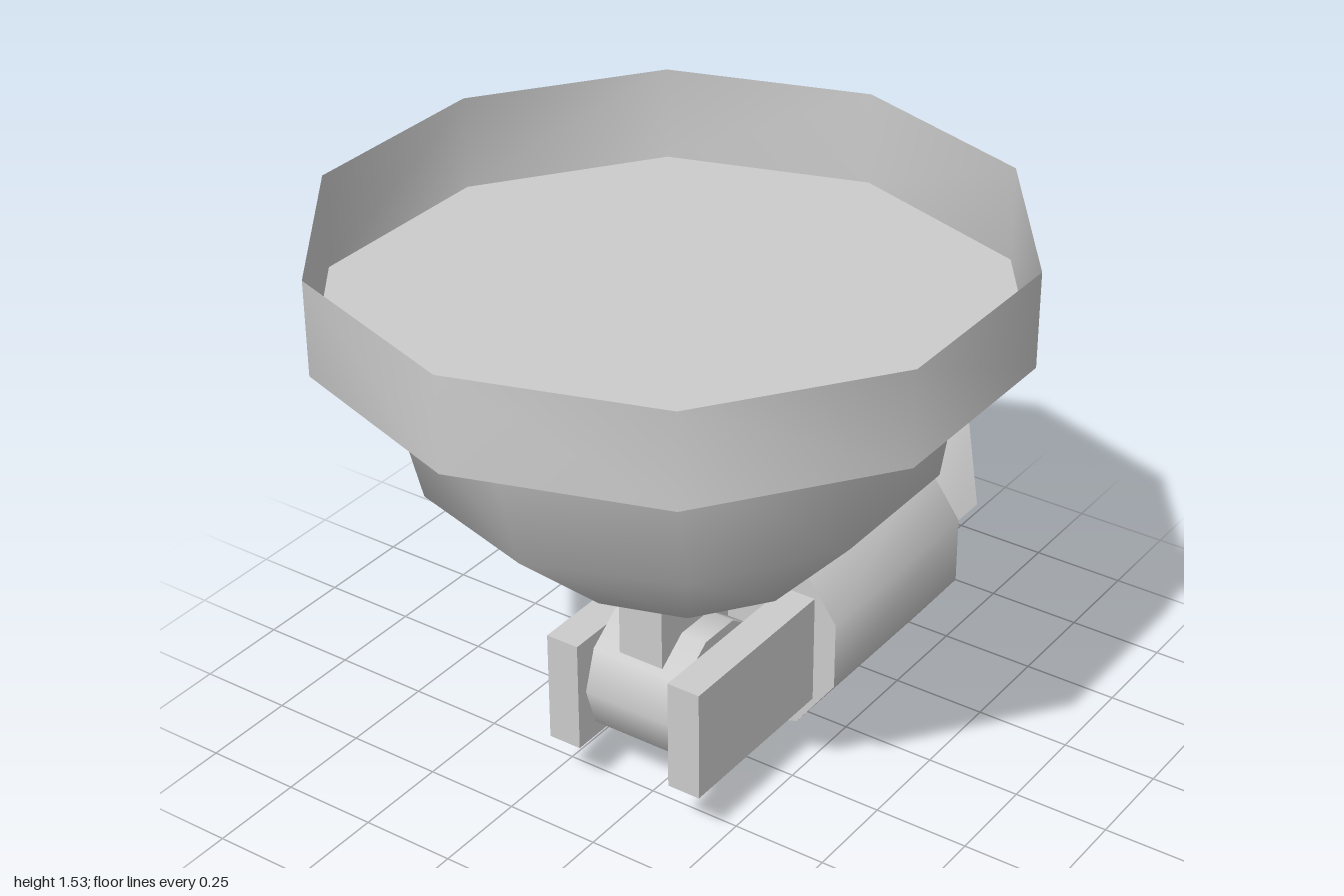
import * as THREE from 'three';
import { toCreasedNormals } from 'three/addons/utils/BufferGeometryUtils.js';

const SIDES = 10;
const CZ = 0.153; // z of the dish and hinge axis

export function createModel() {
  const group = new THREE.Group();
  const material = new THREE.MeshStandardMaterial({ color: 0xcccccc, side: THREE.DoubleSide });

  const add = (name, geometry, x = 0, y = 0, z = 0, parent = group) => {
    const mesh = new THREE.Mesh(geometry, material);
    mesh.name = name;
    mesh.position.set(x, y, z);
    parent.add(mesh);
    return mesh;
  };
  const lathe = (points, segments = SIDES, start = 0, length = Math.PI * 2) =>
    new THREE.LatheGeometry(points.map(([r, y]) => new THREE.Vector2(r, y)), segments, start, length);
  const crease = (geometry) => toCreasedNormals(geometry, 1.0);

  // Open tray: a floor with a thin upright wall
  add('tray', crease(lathe([[0, 1.297], [0.845, 1.297], [0.845, 1.535]])), 0, 0, CZ);

  // Bowl below the tray, its middle rings shifted and tilted a little
  const bowl = lathe([[0, 0.622], [0.345, 0.71], [0.62, 0.955], [0.685, 1.29]]);
  const p = bowl.attributes.position;
  for (let i = 0; i < p.count; i++) {
    const x = p.getX(i), y = p.getY(i);
    if (y > 0.9 && y < 1) p.setXYZ(i, x + 0.015, y + 0.042 * x, p.getZ(i) - 0.01);
    else if (y > 0.7 && y < 0.8) p.setX(i, x + 0.033);
  }
  add('bowl', crease(bowl), 0, 0, CZ);

  // Neck from bowl to hinge
  add('neck', new THREE.BoxGeometry(0.125, 0.235, 0.28), 0, 0.5375, CZ);

  // Hinge drum lying along x, between two side arms
  const drum = new THREE.CylinderGeometry(0.186, 0.186, 0.266, SIDES);
  drum.rotateZ(Math.PI / 2);
  add('hingeDrum', drum, 0, 0.301, CZ);
  for (const side of [-1, 1]) {
    add(side > 0 ? 'leftArm' : 'rightArm', new THREE.BoxGeometry(0.09, 0.3, 0.5), side * 0.178, 0.3, 0.12);
  }

  // Barrel pointing backwards, built along y and laid down as a group
  const barrel = new THREE.Group();
  barrel.name = 'barrel';
  barrel.position.y = 0.3;
  barrel.rotation.x = -Math.PI / 2;
  group.add(barrel);
  const R = 0.298, r = 0.257, end = 0.725;

  // Housing with a shallow recess at its far end
  add('housing', crease(lathe([[0, 0.133], [R, 0.133], [R, end], [r, end], [r, 0.68], [0, 0.68]])), 0, 0, 0, barrel);

  // Hood over the upper four sides, its lip cut on a slant
  const spread = Math.PI * 0.4;
  const hood = lathe([[R, end], [R, 1], [r, 1], [r, end]], 4, -spread, spread * 2);
  const h = hood.attributes.position;
  for (let i = 0; i < h.count; i++) {
    if (h.getY(i) < 0.99) continue;
    const angle = Math.atan2(h.getX(i), h.getZ(i));
    h.setY(i, 1 - 0.18 * (1 - Math.cos(angle)) / (1 - Math.cos(spread)));
  }
  add('hood', crease(hood), 0, 0, 0, barrel);

  // Flat edges closing the two sides of the hood
  for (const side of [-1, 1]) {
    const edge = new THREE.PlaneGeometry(R - r, 0.82 - end);
    edge.translate((R + r) / 2, (0.82 + end) / 2, 0);
    edge.rotateY(side * spread - Math.PI / 2);
    add('hoodEdge', edge, 0, 0, 0, barrel);
  }

  return group;
}
